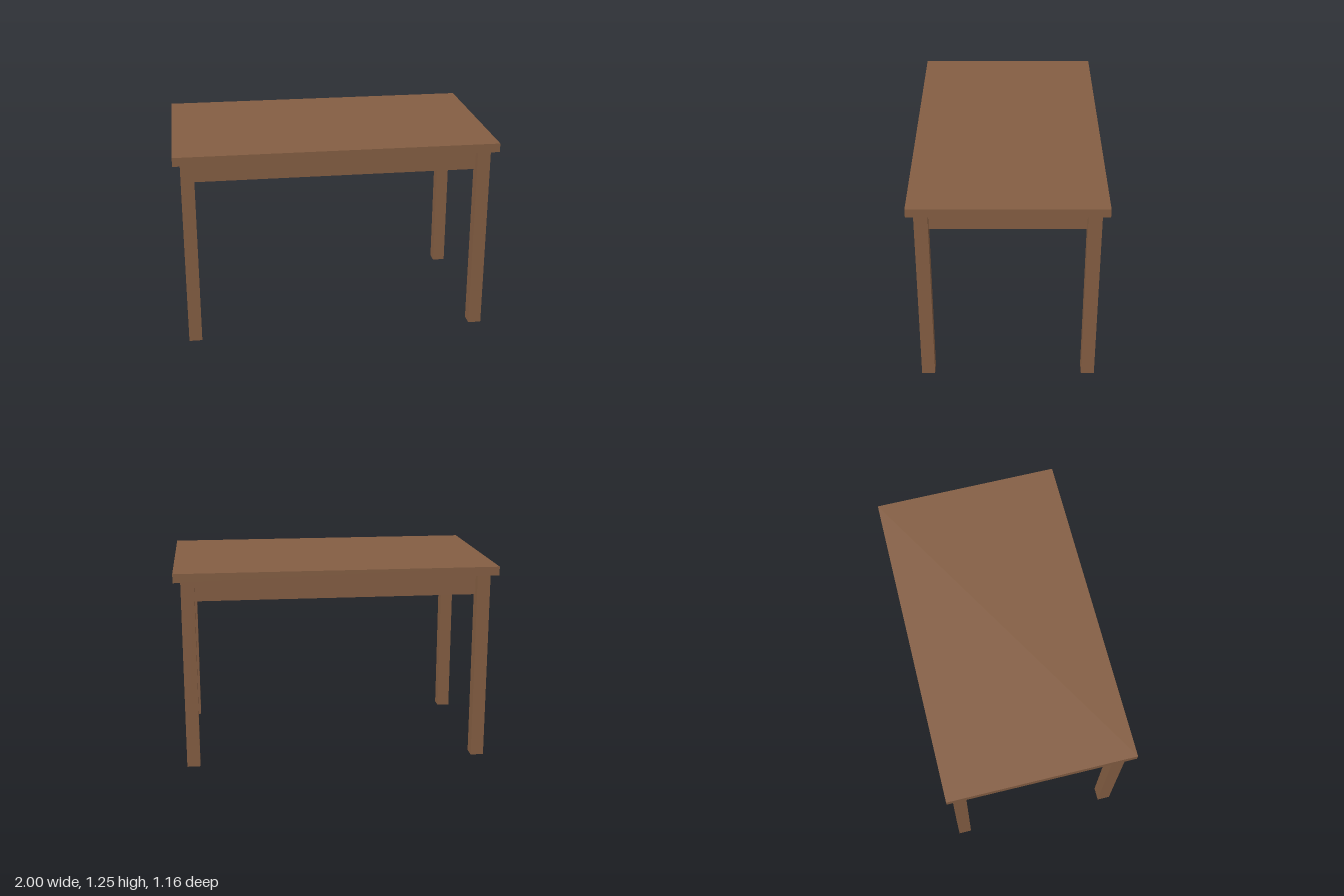
import * as THREE from 'three';

export function createModel() {
  const table = new THREE.Group();
  table.name = 'table';
  const wood = new THREE.MeshStandardMaterial({ color: 0x835d42 });
  wood.name = 'brown wood';

  const topY = 1.25, underY = 1.195;   // faces of the table top
  const legX = 0.915, legZ = 0.5;      // leg centres
  const legSize = 0.082;
  const apronHeight = 0.135, apronThick = 0.032;
  const inset = legSize / 2 - apronThick / 2 - 0.004; // aprons sit near the inner leg faces

  function box(name, w, h, d, x, y, z) {
    const mesh = new THREE.Mesh(new THREE.BoxGeometry(w, h, d), wood);
    mesh.name = name;
    mesh.position.set(x, y, z);
    table.add(mesh);
  }

  // Table top
  box('tableTop', 2, topY - underY, 1.165, 0, (topY + underY) / 2, 0);

  // Legs
  for (const [sx, side] of [[1, 'Left'], [-1, 'Right']]) {
    for (const [sz, end] of [[1, 'front'], [-1, 'back']]) {
      box(`${end}${side}Leg`, legSize, underY, legSize, sx * legX, underY / 2, sz * legZ);
    }
  }

  // Aprons between the legs
  const apronY = underY - apronHeight / 2;
  for (const [s, longName, shortName] of [[1, 'frontApron', 'leftApron'], [-1, 'backApron', 'rightApron']]) {
    box(longName, 2 * legX - legSize, apronHeight, apronThick, 0, apronY, s * (legZ - inset));
    box(shortName, apronThick, apronHeight, 2 * legZ - legSize, s * (legX - inset), apronY, 0);
  }

  return table;
}
